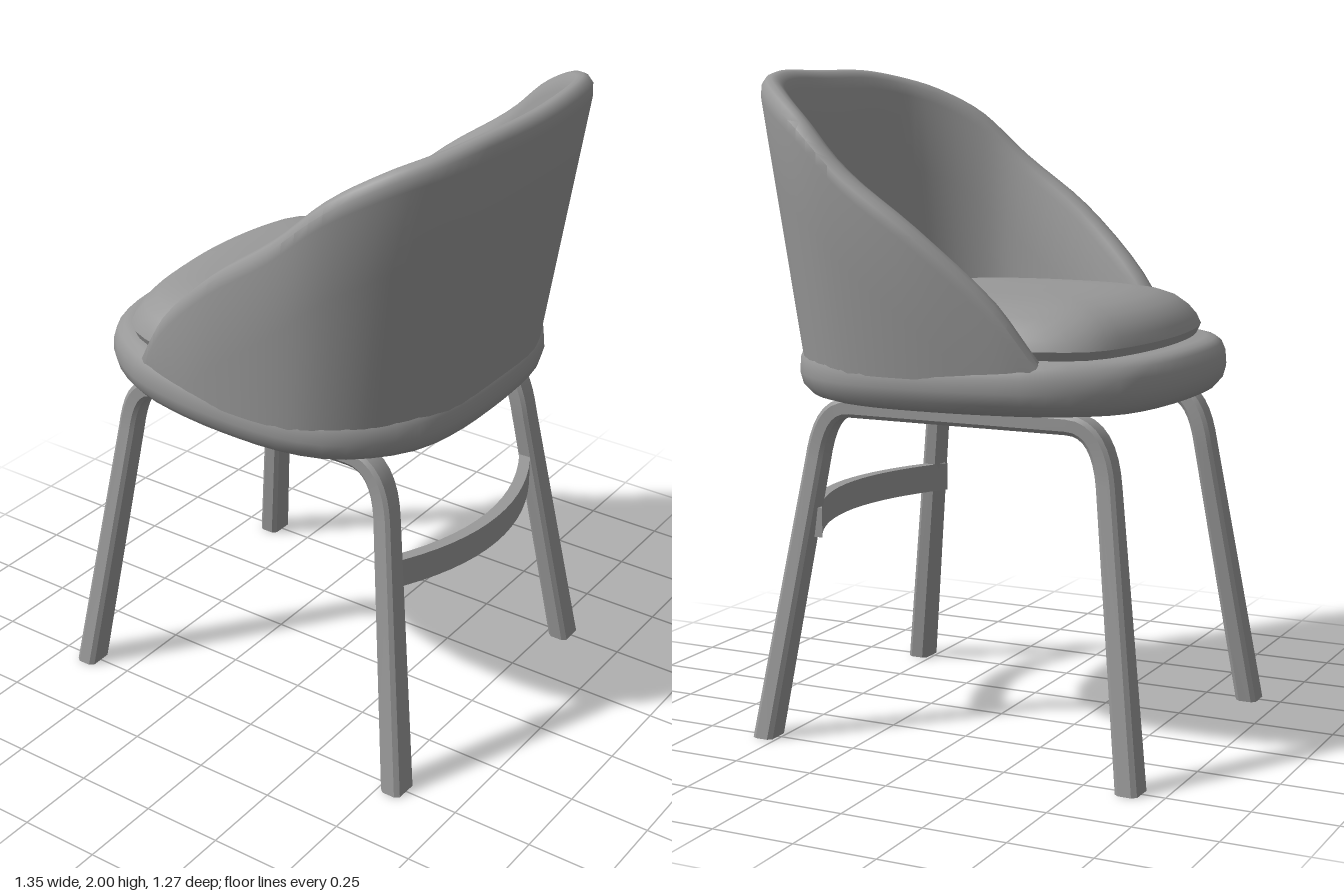
import * as THREE from 'three';
import { toCreasedNormals } from 'three/addons/utils/BufferGeometryUtils.js';

const V = (x, y, z) => new THREE.Vector3(x, y, z);

// Skin a list of closed rings (equal point counts) and cap both ends
function loft(rings, crease = 0.7) {
  const n = rings[0].length, pos = [], idx = [];
  rings.forEach(r => r.forEach(p => pos.push(p.x, p.y, p.z)));
  for (let i = 0; i < rings.length - 1; i++) {
    for (let j = 0; j < n; j++) {
      const a = i * n + j, b = i * n + (j + 1) % n;
      idx.push(a, b, b + n, a, b + n, a + n);
    }
  }
  [0, rings.length - 1].forEach(i => {
    const c = rings[i].reduce((s, p) => s.add(p), V(0, 0, 0)).divideScalar(n);
    const k = pos.length / 3;
    pos.push(c.x, c.y, c.z);
    for (let j = 0; j < n; j++) {
      const a = i * n + j, b = i * n + (j + 1) % n;
      if (i === 0) idx.push(k, b, a); else idx.push(k, a, b);
    }
  });
  // Turn the faces outward if the enclosed volume comes out negative
  const P = i => V(pos[3 * i], pos[3 * i + 1], pos[3 * i + 2]);
  let vol = 0;
  for (let i = 0; i < idx.length; i += 3) vol += P(idx[i]).dot(P(idx[i + 1]).cross(P(idx[i + 2])));
  if (vol < 0) idx.reverse();
  const g = new THREE.BufferGeometry();
  g.setAttribute('position', new THREE.Float32BufferAttribute(pos, 3));
  g.setIndex(idx);
  return toCreasedNormals(g, crease);
}

// Mirror half a path (ending on z = 0) to the other side
const mirrored = half => [...half, ...half.slice(0, -1).reverse().map(p => V(p.x, p.y, -p.z))];

// Upholstered pad: half outline [x, z] from front to back, layers [y, scale]
function pad(half, cx, layers) {
  const side = half.slice(1, -1).reverse().map(([x, z]) => [x, -z]);
  const curve = new THREE.CatmullRomCurve3([...half, ...side].map(([x, z]) => V(x, 0, z)), true);
  const outline = curve.getSpacedPoints(56).slice(0, -1);
  return loft(layers.map(([y, s]) => outline.map(p => V(cx + (p.x - cx) * s, y, p.z * s))));
}

// Wraparound shell: rim and foot curves joined by a rounded wall section
function shellGeometry() {
  const rim = new THREE.CatmullRomCurve3(mirrored([
    V(-0.37, 1.19, 0.525), V(-0.25, 1.36, 0.57), V(-0.02, 1.57, 0.63), V(0.2, 1.725, 0.64),
    V(0.36, 1.86, 0.61), V(0.5, 1.94, 0.525), V(0.6, 1.98, 0.41), V(0.655, 2, 0.26), V(0.675, 2, 0)]));
  const foot = new THREE.CatmullRomCurve3(mirrored([
    V(-0.37, 1.14, 0.515), V(-0.25, 1.14, 0.55), V(-0.05, 1.14, 0.582), V(0.14, 1.14, 0.582),
    V(0.28, 1.14, 0.55), V(0.4, 1.14, 0.47), V(0.48, 1.14, 0.365), V(0.53, 1.14, 0.24), V(0.545, 1.14, 0)]));
  // [share of thickness inward, drop below rim]
  const section = [[0, 9], [0, 0.3], [0, 0.06], [0.08, 0.025], [0.28, 0.006], [0.5, 0],
    [0.72, 0.006], [0.92, 0.025], [1, 0.06], [1, 0.3], [1, 9]];
  const rings = [];
  for (let i = 0; i <= 64; i++) {
    const top = rim.getPoint(i / 64), low = foot.getPoint(i / 64), t = foot.getTangent(i / 64);
    const inward = V(t.z, 0, -t.x).normalize(), h = top.y - low.y;
    rings.push(section.map(([s, d]) =>
      top.clone().lerp(low, Math.min(d / h, 1)).addScaledVector(inward, s * 0.08)));
  }
  return loft(rings);
}

// Side frame: front leg, top bar and back leg bent from one chamfered bar
function frameGeometry() {
  const path = new THREE.CurvePath();
  const f0 = V(-0.645, 0, 0.5), f1 = V(-0.525, 0.84, 0.388), f2 = V(-0.4, 1.012, 0.383);
  const b2 = V(0.3, 1.012, 0.383), b1 = V(0.425, 0.84, 0.388), b0 = V(0.545, 0, 0.5);
  path.add(new THREE.LineCurve3(f0, f1));
  path.add(new THREE.CubicBezierCurve3(f1, V(-0.512, 0.94, 0.378), V(-0.48, 1.012, 0.383), f2));
  path.add(new THREE.LineCurve3(f2, b2));
  path.add(new THREE.CubicBezierCurve3(b2, V(0.38, 1.012, 0.383), V(0.412, 0.94, 0.378), b1));
  path.add(new THREE.LineCurve3(b1, b0));
  const section = [[1, 0.6], [0.75, 1], [-0.75, 1], [-1, 0.6], [-1, -0.6], [-0.75, -1], [0.75, -1], [1, -0.6]];
  const rings = [];
  path.curves.forEach((c, k) => {
    const steps = k % 2 ? 8 : 1;
    for (let i = k ? 1 : 0; i <= steps; i++) {
      const p = c.getPoint(i / steps), t = c.getTangent(i / steps);
      const side = V(0, 0, 1).addScaledVector(t, -t.z).normalize();
      const across = t.clone().cross(side);
      const atFoot = p.y < 0.01, w = atFoot ? 0.045 : 0.036, d = atFoot ? 0.034 : 0.029;
      rings.push(section.map(([a, b]) => {
        const q = p.clone().addScaledVector(side, a * w).addScaledVector(across, b * d);
        if (atFoot) q.y = 0;
        return q;
      }));
    }
  });
  return loft(rings, 0.5);
}

// Back stretcher: thin bowed rail between the back legs
function stretcherGeometry() {
  const s = new THREE.Shape();
  s.moveTo(0.44, -0.41);
  s.quadraticCurveTo(0.69, 0, 0.44, 0.41);
  s.lineTo(0.4, 0.41);
  s.quadraticCurveTo(0.655, 0, 0.4, -0.41);
  const g = new THREE.ExtrudeGeometry(s, { depth: 0.09, bevelEnabled: false, curveSegments: 16 });
  g.rotateX(Math.PI / 2).translate(0, 0.7, 0);
  return toCreasedNormals(g, 0.5);
}

export function createModel() {
  const group = new THREE.Group();
  group.name = 'tubChair';
  const grey = new THREE.MeshStandardMaterial({ color: 0x999999 });
  grey.name = 'grey';
  const add = (name, geometry) => {
    const mesh = new THREE.Mesh(geometry, grey);
    mesh.name = name;
    group.add(mesh);
    return mesh;
  };

  // Seat base and loose cushion
  add('seatBase', pad(
    [[-0.655, 0], [-0.632, 0.26], [-0.57, 0.4], [-0.4, 0.52], [-0.2, 0.57], [0, 0.587], [0.18, 0.58],
      [0.32, 0.54], [0.43, 0.455], [0.51, 0.34], [0.545, 0.2], [0.555, 0]], -0.05,
    [[1.04, 0.5], [1.04, 0.9], [1.05, 0.95], [1.075, 0.985], [1.11, 1], [1.15, 0.995],
      [1.18, 0.975], [1.195, 0.945], [1.2, 0.9], [1.2, 0.5]]));
  add('seatCushion', pad(
    [[-0.565, 0], [-0.535, 0.28], [-0.48, 0.42], [-0.35, 0.49], [-0.05, 0.517], [0.2, 0.485],
      [0.35, 0.415], [0.43, 0.26], [0.46, 0]], -0.05,
    [[1.18, 0.9], [1.2, 0.98], [1.225, 1], [1.255, 0.975], [1.285, 0.93], [1.312, 0.865],
      [1.333, 0.76], [1.345, 0.62], [1.35, 0.4], [1.352, 0.15]]));

  add('backShell', shellGeometry());

  // Legs on both sides
  const frame = frameGeometry();
  add('leftFrame', frame);
  add('rightFrame', frame).rotation.y = 0;
  const other = loftMirror(frame);
  group.children[group.children.length - 1].geometry = other;

  add('backStretcher', stretcherGeometry());
  return group;
}

// Copy a non-indexed geometry to the other side, keeping its faces outward
function loftMirror(geometry) {
  const g = geometry.clone().scale(1, 1, -1);
  for (const a of [g.attributes.position, g.attributes.normal]) {
    for (let i = 0; i < a.count; i += 3) {
      const v = [0, 1, 2].map(k => V(0, 0, 0).fromBufferAttribute(a, i + k));
      a.setXYZ(i + 1, v[2].x, v[2].y, v[2].z);
      a.setXYZ(i + 2, v[1].x, v[1].y, v[1].z);
    }
  }
  return g;
}
